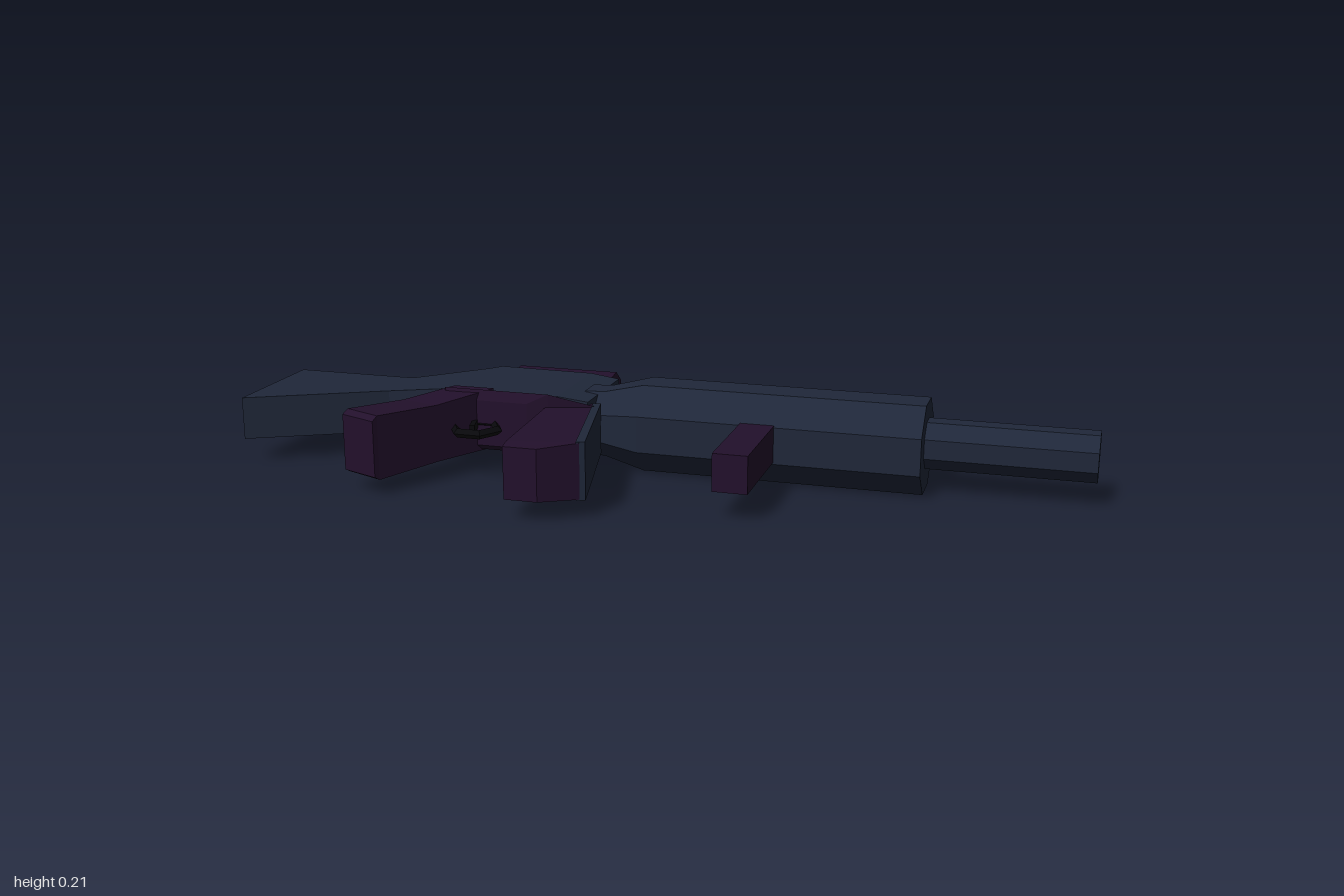
import * as THREE from 'three';

const mat = (color) => new THREE.MeshStandardMaterial({ color, flatShading: true });

// Lofted block. Each ring is [ax, az, bx, bz, y0, y1]: two plan points with a thickness range.
function loft(rings) {
  const pts = rings.map(([ax, az, bx, bz, y0, y1]) => [
    [ax, y0, az], [bx, y0, bz], [bx, y1, bz], [ax, y1, az]]);
  const out = [];
  const tri = (...p) => p.forEach((v) => out.push(...v));
  for (let k = 0; k < pts.length - 1; k++) {
    for (let i = 0; i < 4; i++) {
      const j = (i + 1) % 4, r = pts[k], s = pts[k + 1];
      tri(r[i], s[i], r[j]);
      tri(r[j], s[i], s[j]);
    }
  }
  const f = pts[0], l = pts[pts.length - 1];
  tri(f[0], f[1], f[2]); tri(f[0], f[2], f[3]);
  tri(l[0], l[2], l[1]); tri(l[0], l[3], l[2]);
  const g = new THREE.BufferGeometry();
  g.setAttribute('position', new THREE.Float32BufferAttribute(out, 3));
  g.computeVertexNormals();
  return g;
}

// Eight-sided turned shape along x from [half width across flats, x] pairs.
function octagon(profile, tilt = 0) {
  const k = 1 / Math.cos(Math.PI / 8);
  const g = new THREE.LatheGeometry(
    profile.map(([r, x]) => new THREE.Vector2(r * k, x)), 8, Math.PI / 8);
  return g.rotateZ(-Math.PI / 2).rotateX(tilt);
}

export function createModel() {
  const model = new THREE.Group();
  const navy = mat(0x1f2739), purple = mat(0x22102b), black = mat(0x08080b);
  const add = (name, geometry, material, x = 0, y = 0, z = 0) => {
    const m = new THREE.Mesh(geometry, material);
    m.name = name;
    m.position.set(x, y, z);
    model.add(m);
    return m;
  };

  // Stock flowing into the receiver
  add('stockAndReceiver', loft([
    [-1, -0.17, -1, 0.135, 0.062, 0.165],
    [-0.69, -0.17, -0.69, -0.03, 0.062, 0.165],
    [-0.51, -0.245, -0.51, -0.03, 0.055, 0.185],
    [-0.48, -0.256, -0.48, -0.01, 0.053, 0.19],
    [-0.24, -0.25, -0.24, -0.005, 0.053, 0.19],
    [-0.165, -0.243, -0.165, -0.005, 0.055, 0.182],
  ]), navy);

  // Handguard and hollow barrel
  add('handguard', octagon([
    [0, -0.2], [0.078, -0.2], [0.08, -0.15], [0.105, -0.05], [0.105, 0.617], [0, 0.617],
  ]), navy, 0, 0.109, -0.12);
  add('barrel', octagon([
    [0.055, 0.6], [0.055, 1], [0.041, 1], [0.041, 0.75], [0, 0.75],
  ]), navy, 0, 0.115, -0.122);

  // Sight on its mount
  add('sight', octagon([
    [0, -0.46], [0.054, -0.46], [0.054, -0.2], [0, -0.2],
  ], 0.12), purple, 0, 0.12, -0.315);
  add('sightMount', new THREE.BoxGeometry(0.22, 0.06, 0.04), black, -0.33, 0.12, -0.255);

  // Lower receiver plate
  add('lowerReceiver', loft([
    [-0.14, -0.02, -0.5, -0.02, 0.052, 0.172],
    [-0.15, 0.0, -0.5, 0.0, 0.052, 0.175],
    [-0.25, 0.035, -0.51, 0.035, 0.058, 0.204],
    [-0.3, 0.045, -0.5, 0.045, 0.07, 0.18],
  ]), purple);

  // Rear grip
  add('rearGrip', loft([
    [-0.4, 0, -0.5, 0, 0.055, 0.2],
    [-0.485, 0.145, -0.58, 0.115, 0.052, 0.188],
    [-0.567, 0.285, -0.66, 0.245, 0.042, 0.193],
    [-0.573, 0.297, -0.667, 0.258, 0.05, 0.182],
  ]), purple);

  // Magazine with a front plate
  add('magazine', loft([
    [-0.145, -0.03, -0.26, -0.01, 0.055, 0.172],
    [-0.07, 0.3, -0.235, 0.335, 0.047, 0.176],
    [-0.155, 0.365, -0.232, 0.366, 0.052, 0.172],
  ]), purple);
  add('magazineFrontPlate', loft([
    [-0.141, -0.03, -0.16, -0.03, 0.053, 0.174],
    [-0.066, 0.301, -0.085, 0.309, 0.045, 0.178],
  ]), navy);

  // Front grip
  add('frontGrip', new THREE.BoxGeometry(0.08, 0.087, 0.27), purple, 0.24, 0.113, 0.1);

  // Trigger guard and trigger
  add('triggerGuard', new THREE.TorusGeometry(0.055, 0.011, 4, 6).rotateX(Math.PI / 2),
    black, -0.412, 0.122, 0.085);
  const trigger = add('trigger', new THREE.BoxGeometry(0.012, 0.02, 0.06), black, -0.425, 0.122, 0.068);
  trigger.rotation.y = 0.25;

  return model;
}
